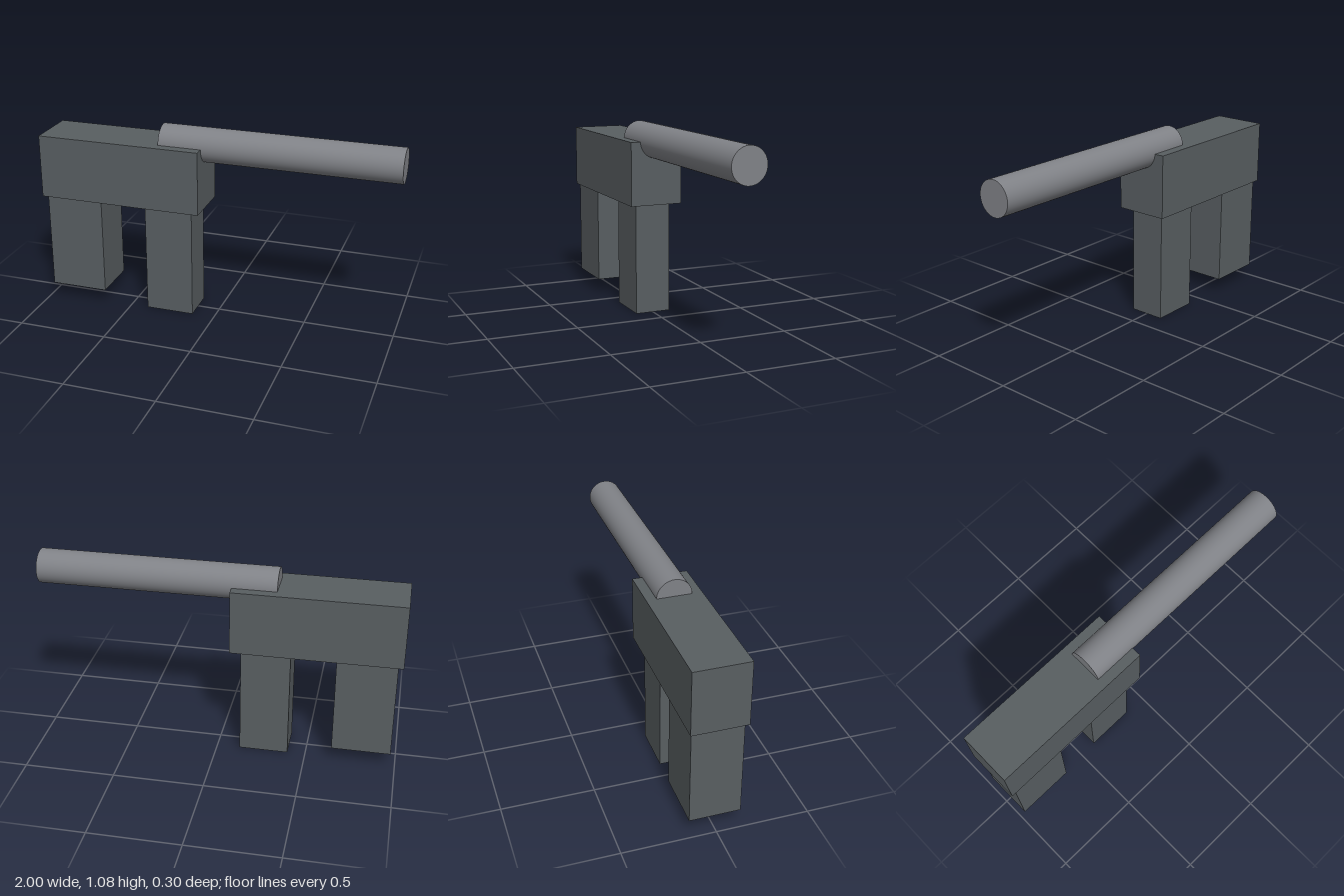
import * as THREE from 'three';

export function createModel() {
  const model = new THREE.Group();
  const darkGrey = new THREE.MeshStandardMaterial({ color: 0x585e61 });
  darkGrey.name = 'dark grey';
  const midGrey = new THREE.MeshStandardMaterial({ color: 0x808287 });
  midGrey.name = 'mid grey';

  // Box from its x and y limits and its depth, centred on z = 0
  function addBlock(name, x0, x1, y0, y1, depth) {
    const mesh = new THREE.Mesh(new THREE.BoxGeometry(x1 - x0, y1 - y0, depth), darkGrey);
    mesh.position.set((x0 + x1) / 2, (y0 + y1) / 2, 0);
    mesh.name = name;
    model.add(mesh);
  }

  addBlock('body', -1, -0.074, 0.632, 0.989, 0.3);
  addBlock('rearGrip', -0.972, -0.648, 0.085, 0.632, 0.274);
  addBlock('frontGrip', -0.4, -0.128, 0, 0.632, 0.204);

  // Round barrel, half sunk into the top of the body
  const barrelStart = -0.317, barrelEnd = 1;
  const barrel = new THREE.Mesh(
    new THREE.CylinderGeometry(0.095, 0.095, barrelEnd - barrelStart, 48), midGrey);
  barrel.rotation.z = -Math.PI / 2;
  barrel.position.set((barrelStart + barrelEnd) / 2, 0.989, 0);
  barrel.name = 'barrel';
  model.add(barrel);

  return model;
}
